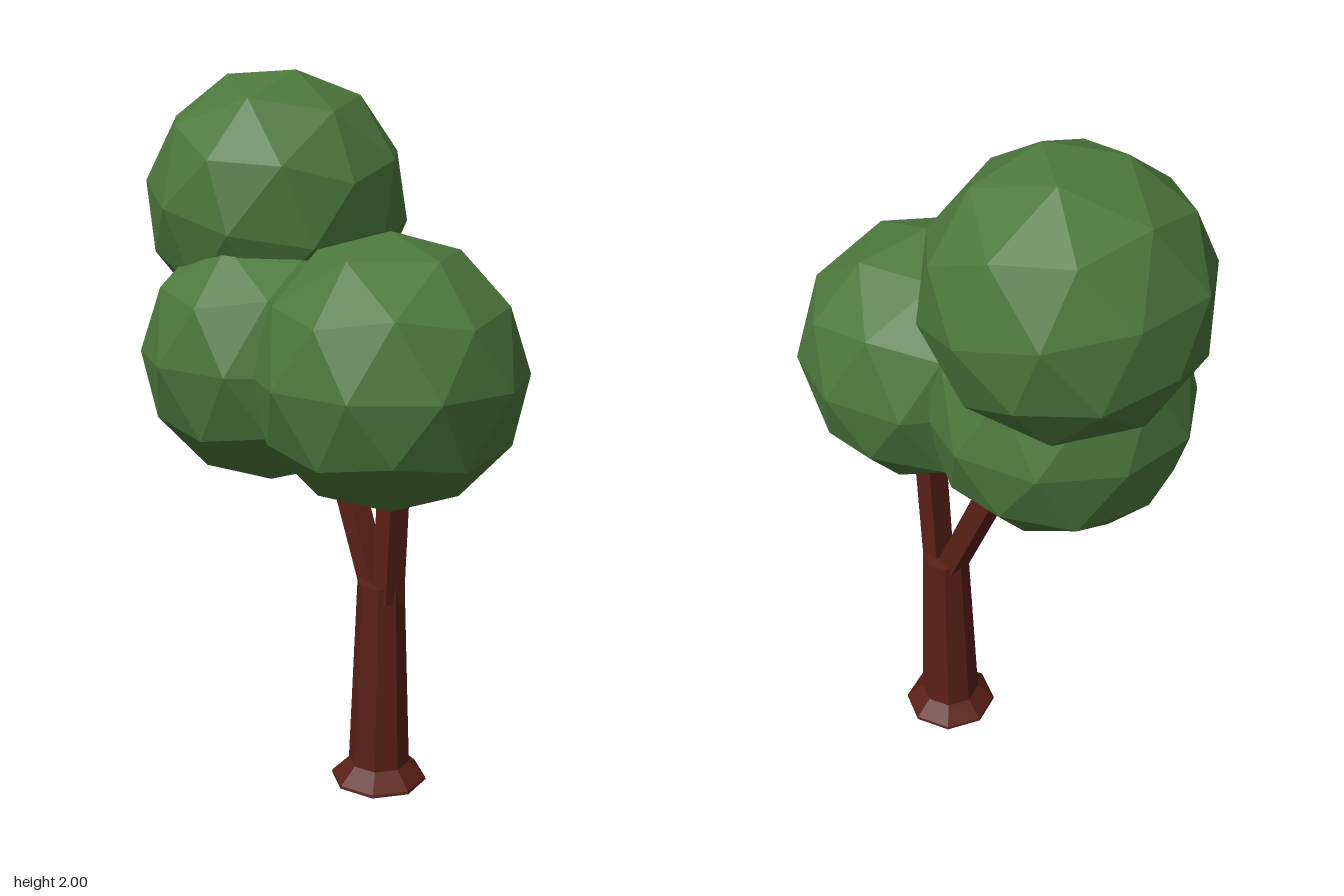
import * as THREE from 'three';

const bark = new THREE.MeshStandardMaterial({ color: 0x5a2018, flatShading: true });
const leaf = new THREE.MeshStandardMaterial({ color: 0x4c783c, flatShading: true });

export function createModel() {
  const tree = new THREE.Group();
  tree.name = 'tree';

  const add = (name, geometry, material, position) => {
    const mesh = new THREE.Mesh(geometry, material);
    mesh.name = name;
    mesh.position.set(...position);
    tree.add(mesh);
    return mesh;
  };

  // Tapered eight-sided trunk with a flared foot, closed at both ends
  const profile = [[0, 0], [0.138, 0], [0.136, 0.008], [0.088, 0.055], [0.067, 0.605], [0, 0.605]]
    .map(([r, y]) => new THREE.Vector2(r, y));
  add('trunk', new THREE.LatheGeometry(profile, 8), bark, [0.135, 0, -0.127]);

  // Square branches running from the trunk top into the foliage
  const addBranch = (name, from, to) => {
    const a = new THREE.Vector3(...from), b = new THREE.Vector3(...to);
    const dir = b.clone().sub(a);
    const branch = add(name, new THREE.BoxGeometry(0.062, dir.length(), 0.065), bark,
      a.clone().add(b).multiplyScalar(0.5).toArray());
    branch.quaternion.setFromUnitVectors(new THREE.Vector3(0, 1, 0), dir.normalize());
  };
  addBranch('rightBranch', [0.12, 0.56, -0.127], [-0.09, 1.0, -0.127]);
  addBranch('leftBranch', [0.168, 0.56, -0.127], [0.19, 1.0, -0.127]);

  // Faceted foliage balls, turned so that one corner points up
  const ball = new THREE.IcosahedronGeometry(0.37, 1);
  ball.rotateZ(-Math.atan(2 / (1 + Math.sqrt(5))));
  add('leftFoliage', ball, leaf, [0.26, 1.24, -0.046]);
  add('frontFoliage', ball, leaf, [-0.153, 1.24, 0.04]);
  add('topFoliage', ball, leaf, [-0.255, 1.643, -0.046]).rotation.z = -Math.PI / 12;

  return tree;
}
